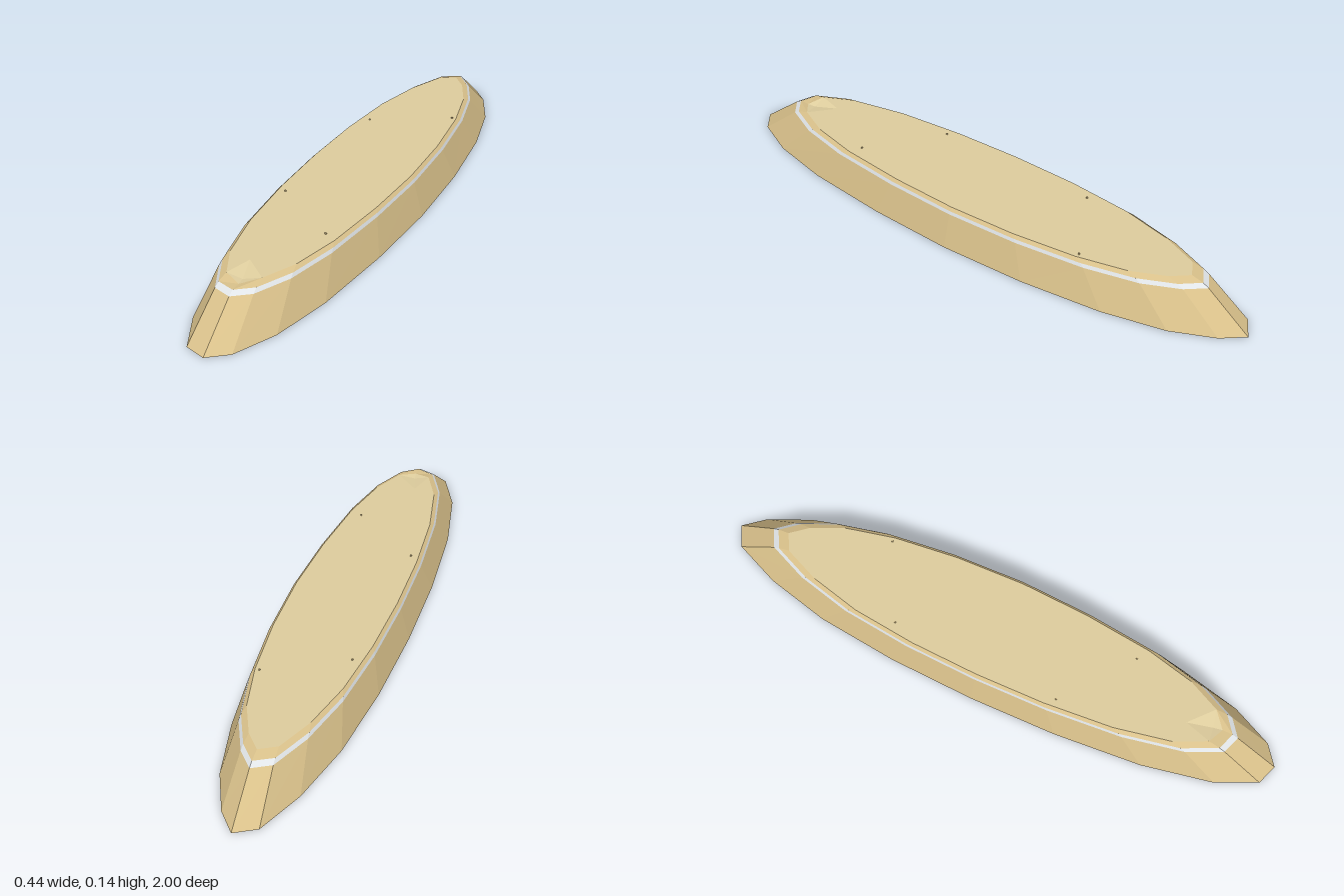
import * as THREE from 'three';

// Base outline as [x, z], from the front tip round the +x side to the back and home
const OUTLINE = [
  [0, 1], [0.065, 0.95], [0.13, 0.81], [0.177, 0.6], [0.208, 0.3], [0.22, 0],
  [0.208, -0.3], [0.175, -0.58], [0.125, -0.79], [0.06, -0.93], [0, -1],
  [-0.07, -0.96], [-0.135, -0.8], [-0.185, -0.58], [-0.212, -0.3], [-0.22, 0],
  [-0.212, 0.3], [-0.185, 0.6], [-0.135, 0.84], [-0.07, 0.975],
];

const ring = (y, sx, sz) => OUTLINE.map(([x, z]) => [x * sx, y, z * sz]);

function meshFrom(name, triangles, color) {
  const geometry = new THREE.BufferGeometry();
  geometry.setAttribute('position', new THREE.Float32BufferAttribute(triangles.flat(2), 3));
  geometry.computeVertexNormals();
  const material = new THREE.MeshStandardMaterial({ color, flatShading: true });
  const mesh = new THREE.Mesh(geometry, material);
  mesh.name = name;
  return mesh;
}

// Wall of faces between a lower and an upper ring
function wall(lower, upper) {
  return lower.flatMap((a, i) => {
    const j = (i + 1) % lower.length;
    return [[a, lower[j], upper[j]], [a, upper[j], upper[i]]];
  });
}

// Flat cap over a loop of points, facing up or down
function cap(loop, up = true) {
  const flat = loop.map(([x, , z]) => new THREE.Vector2(x, -z));
  return THREE.ShapeUtils.triangulateShape(flat, []).map((face) => {
    const [a, b, c] = face.map((i) => flat[i]);
    const ccw = (b.x - a.x) * (c.y - a.y) - (b.y - a.y) * (c.x - a.x) > 0;
    const tri = face.map((i) => loop[i]);
    return ccw === up ? tri : tri.reverse();
  });
}

export function createModel() {
  const group = new THREE.Group();
  const tan = 0xd8c08a;

  const base = ring(0, 1, 1);
  const shoulder = ring(0.117, 0.86, 0.85);
  const bandTop = ring(0.128, 0.845, 0.83);
  const rim = ring(0.138, 0.8, 0.79);
  rim[0] = [0, 0.128, 0.795]; // the rim dips at the front notch

  // Sloping body with its underside
  group.add(meshFrom('body', [...wall(base, shoulder), ...cap(base, false)], tan));

  // Pale band round the shoulder
  group.add(meshFrom('band', wall(shoulder, bandTop), 0xdfe3e6));

  // Bevel and flat deck, cut back behind the notch
  const notchBack = [-0.03, 0.138, 0.68];
  const deckLoop = [notchBack, ...rim.slice(1)];
  group.add(meshFrom('deckBevel', wall(bandTop, rim), tan));
  group.add(meshFrom('deck', cap(deckLoop), 0xdccb9c));

  // Faceted notch at the front tip
  const pit = [-0.005, 0.126, 0.765];
  const notchRim = [rim[0], rim[1], notchBack, rim[rim.length - 1]];
  const notch = notchRim.map((p, i) => [p, notchRim[(i + 1) % 4], pit]);
  group.add(meshFrom('notch', notch, 0xe0cf9f));

  // Tiny pins standing just proud of the deck
  const pinMaterial = new THREE.MeshStandardMaterial({ color: tan, flatShading: true });
  for (const [x, z] of [[-0.13, -0.32], [-0.14, 0.27], [0.125, -0.46], [0.1, 0.45]]) {
    const pin = new THREE.Mesh(new THREE.CylinderGeometry(0.003, 0.004, 0.006, 5), pinMaterial);
    pin.position.set(x, 0.139, z);
    pin.name = 'pin';
    group.add(pin);
  }
  return group;
}
